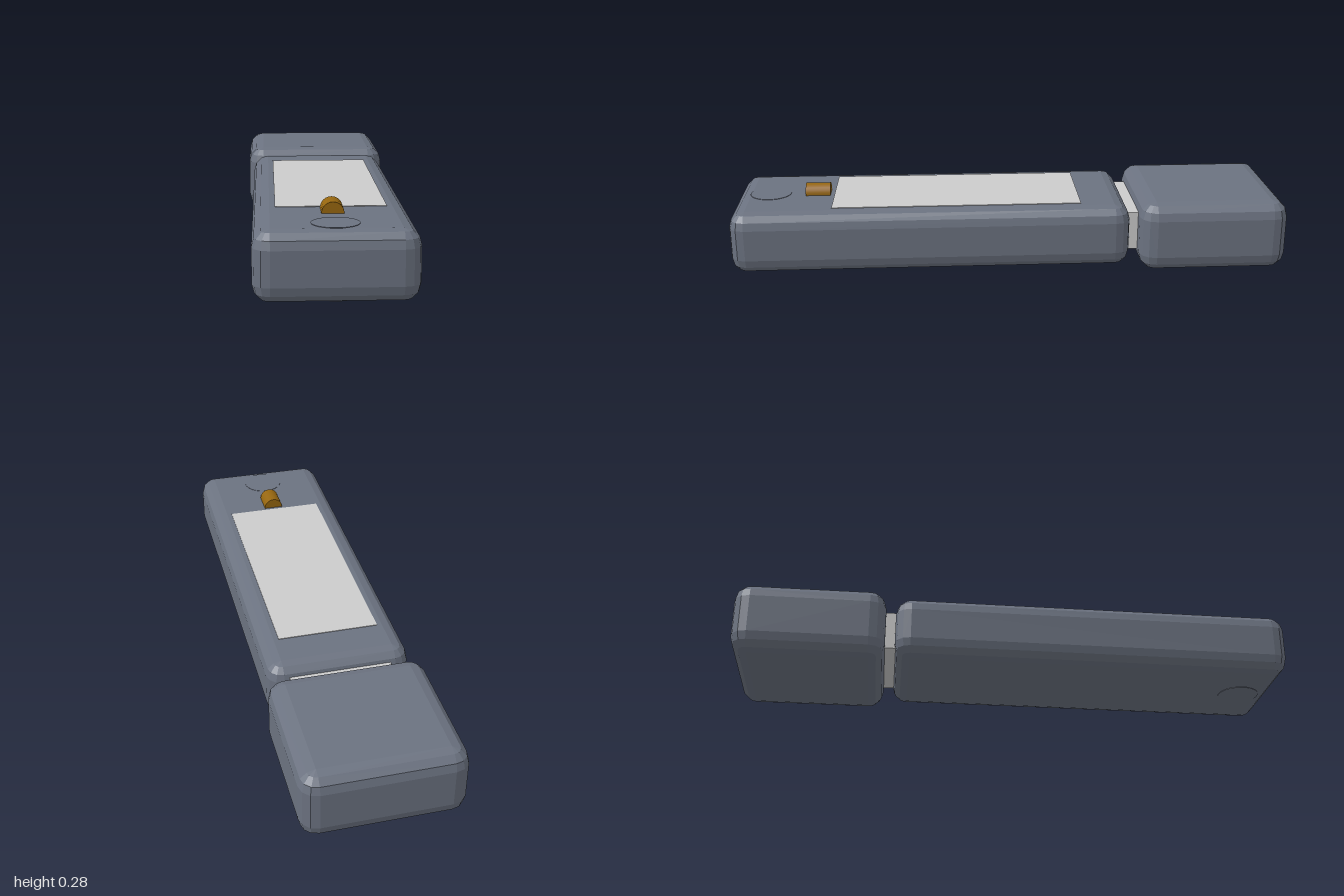
import * as THREE from 'three';
import { ConvexGeometry } from 'three/addons/geometries/ConvexGeometry.js';

const shell = new THREE.MeshStandardMaterial({ color: 0x6b7280, flatShading: true });
const grey = new THREE.MeshStandardMaterial({ color: 0xcccccc });
const amber = new THREE.MeshStandardMaterial({ color: 0x96660f });

// Box with three-step rounded edges: the hull of a small sphere at each corner
function bevelledBox(w, h, d, r) {
  const ball = new THREE.SphereGeometry(r, 12, 6).attributes.position;
  const points = [];
  for (let i = 0; i < ball.count; i++) {
    const p = new THREE.Vector3().fromBufferAttribute(ball, i);
    for (const sx of [-1, 1]) for (const sy of [-1, 1]) for (const sz of [-1, 1]) {
      // keep only the octant facing outwards at this corner
      if (p.x * sx < -1e-6 || p.y * sy < -1e-6 || p.z * sz < -1e-6) continue;
      points.push(new THREE.Vector3(
        p.x + sx * (w / 2 - r), p.y + sy * (h / 2 - r), p.z + sz * (d / 2 - r)));
    }
  }
  return new ConvexGeometry(points);
}

export function createModel() {
  const model = new THREE.Group();
  model.name = 'memoryStick';

  function add(name, geometry, material, x, y, z) {
    const mesh = new THREE.Mesh(geometry, material);
    mesh.name = name;
    mesh.position.set(x, y, z);
    model.add(mesh);
    return mesh;
  }

  // Main case and the cap behind it
  add('body', bevelledBox(0.506, 0.222, 1.43, 0.055), shell, 0, 0.128, 0.285);
  add('cap', bevelledBox(0.55, 0.253, 0.535, 0.058), shell, 0, 0.1265, -0.7325);

  // Metal plug bridging the gap into the cap
  add('connector', new THREE.BoxGeometry(0.36, 0.14, 0.48), grey, 0, 0.13, -0.62);

  // Thin panel on the top face
  add('label', new THREE.BoxGeometry(0.36, 0.006, 0.895), grey, 0, 0.238, 0.1925);

  // Indicator lamp, half sunk in the top face
  const lamp = new THREE.CylinderGeometry(0.036, 0.036, 0.09, 24).rotateX(Math.PI / 2);
  add('indicatorLamp', lamp, amber, 0, 0.24, 0.7);

  // Plug of the lanyard hole, barely proud of both faces
  add('lanyardHole', new THREE.CylinderGeometry(0.075, 0.075, 0.225, 32), shell, 0, 0.128, 0.875);

  return model;
}
